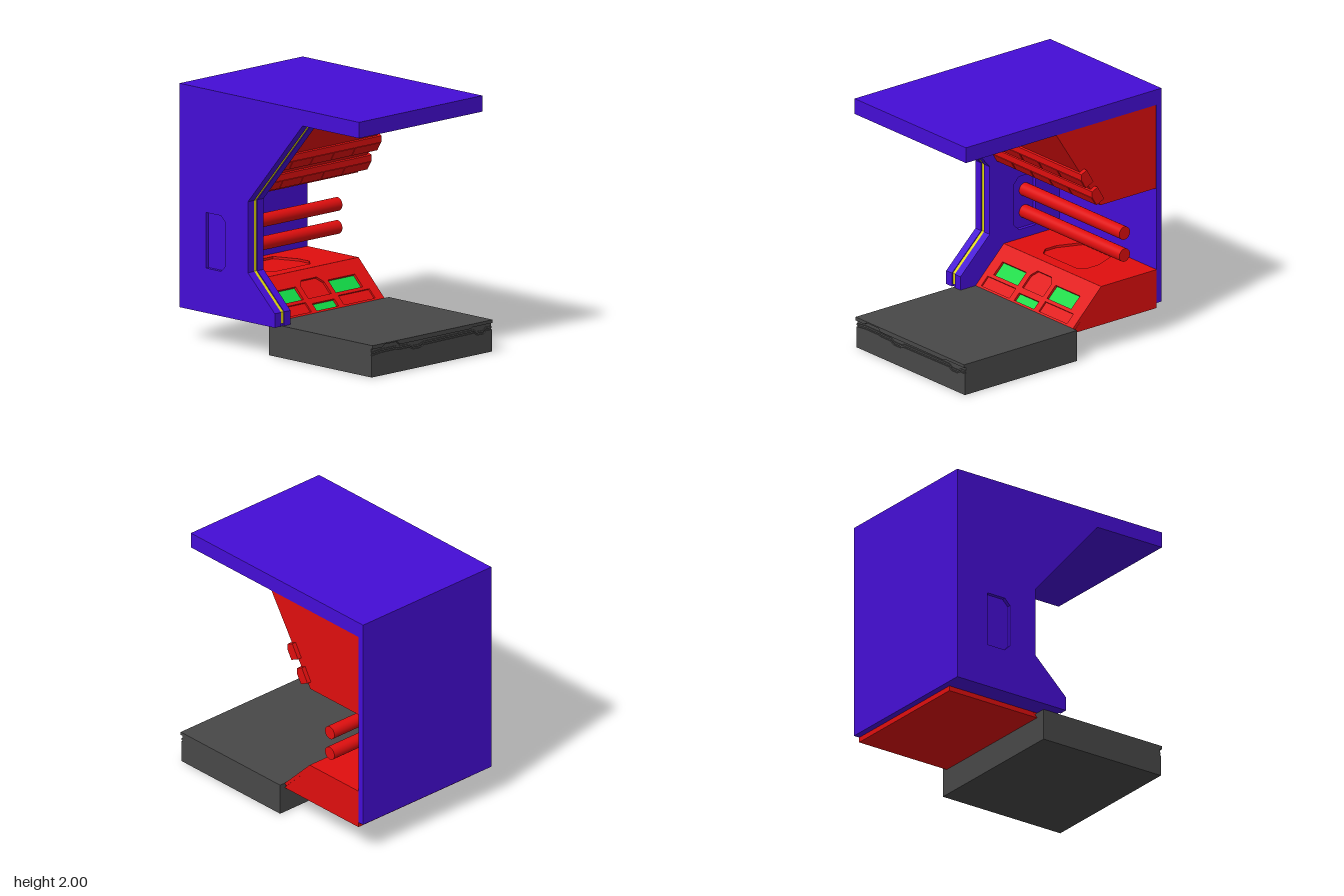
import * as THREE from 'three';

const paint = (name, color) => {
  const m = new THREE.MeshStandardMaterial({ color });
  m.name = name;
  return m;
};

export function createModel() {
  const purple = paint('purple shell', 0x450dd6);
  const red = paint('red panels', 0xe00e0e);
  const grey = paint('grey platform', 0x484848);
  const green = paint('green screens', 0x12da46);
  const yellow = paint('yellow strip', 0xe0d80c);
  const model = new THREE.Group();

  const add = (name, geometry, material, parent = model) => {
    const mesh = new THREE.Mesh(geometry, material);
    mesh.name = name;
    parent.add(mesh);
    return mesh;
  };
  const toPoints = (list) => list.map(([a, b]) => new THREE.Vector2(a, b));
  const rect = (a0, a1, b0, b1) => [[a0, b0], [a1, b0], [a1, b1], [a0, b1]];
  const block = (x0, x1, y0, y1, z0, z1) =>
    new THREE.BoxGeometry(x1 - x0, y1 - y0, z1 - z0)
      .translate((x0 + x1) / 2, (y0 + y1) / 2, (z0 + z1) / 2);

  // Flat plate from an outline, with holes, between two depths
  const plate = (outline, d0, d1, holes = []) => {
    const shape = new THREE.Shape(toPoints(outline));
    holes.forEach((h) => shape.holes.push(new THREE.Path(toPoints(h))));
    return new THREE.ExtrudeGeometry(shape, { depth: d1 - d0, bevelEnabled: false }).translate(0, 0, d0);
  };
  // Side profile of [z, y] points stretched from x0 to x1
  const slab = (profile, x0, x1, holes) =>
    plate(profile, 0, x1 - x0, holes).rotateY(-Math.PI / 2).translate(x1, 0, 0);

  // Roof and back
  add('roof', block(-0.69, 0.64, 1.875, 2, -1, 0.94), purple);
  add('backWall', block(-0.69, 0.64, 0.25, 1.875, -1, -0.95), purple);

  // Side wall in layers: a window recess on both faces and a groove along the front edge
  const edge = [[0.03, 0.25], [0.03, 0.36], [-0.26, 0.635], [-0.26, 1.19], [0.33, 1.875]];
  const wall = (inset) => [[-0.95, 0.25], ...edge.map(([z, y]) => [z - inset, y]), [-0.95, 1.875]];
  const recess = [[-0.715, 0.6], [-0.55, 0.6], [-0.5, 0.65], [-0.5, 0.985], [-0.55, 1.035], [-0.715, 1.035]];
  const layers = [
    [-0.69, -0.66, 0, [recess]], [-0.66, -0.622, 0, []], [-0.622, -0.588, 0.015, []],
    [-0.588, -0.55, 0, []], [-0.55, -0.52, 0, [recess]],
  ];
  layers.forEach(([x0, x1, inset, holes]) => add('sideWall', slab(wall(inset), x0, x1, holes), purple));

  // Yellow strip in the groove
  const strip = [[0.03, 0.27], ...edge.slice(1)];
  const stripOutline = [
    ...strip.map(([z, y]) => [z - 0.007, y]),
    ...strip.map(([z, y]) => [z - 0.016, y]).reverse(),
  ];
  add('edgeStrip', slab(stripOutline, -0.62, -0.59), yellow);

  // Upper housing with two panelled bars
  add('upperHousing', slab([[-0.95, 1.19], [-0.4, 1.19], [0.04, 1.875], [-0.95, 1.875]], -0.52, 0.635), red);
  const barProfile = [[-0.3, 1.42], [-0.225, 1.385], [-0.18, 1.46], [-0.18, 1.505], [-0.235, 1.53]];
  for (let i = 0; i < 2; i++) {
    const bar = new THREE.Group();
    bar.name = 'panelBar';
    bar.position.set(0, -0.167 * i, -0.107 * i);
    model.add(bar);
    add('bar', slab(barProfile, -0.52, 0.67), red, bar);
    const breaks = [-0.52, -0.29, -0.067, 0.157, 0.383, 0.67];
    for (let k = 0; k < 5; k++) {
      const panel = add('barPanel',
        new THREE.BoxGeometry(breaks[k + 1] - breaks[k] - 0.014, 0.074, 0.008), red, bar);
      panel.position.set((breaks[k] + breaks[k + 1]) / 2, 1.4225, -0.2025);
      panel.rotation.x = Math.atan2(0.045, 0.075);
    }
  }

  // Round rods
  for (const y of [0.725, 0.905]) {
    const rod = add('rod', new THREE.CylinderGeometry(0.053, 0.053, 1.195, 32), red);
    rod.rotation.z = Math.PI / 2;
    rod.position.set(0.0475, y, -0.63);
  }

  // Lower console body, and its top plate with a shallow recess
  add('consoleBody', slab([[-0.95, 0.21], [-0.12, 0.21], [-0.12, 0.214], [-0.4175, 0.507], [-0.95, 0.507]],
    -0.52, 0.642), red);
  const hatch = [[-0.17, 0.5], [0.22, 0.5], [0.28, 0.57], [0.28, 0.68], [0.2, 0.88], [-0.15, 0.88],
    [-0.23, 0.68], [-0.23, 0.57]];
  add('consoleTop', plate(rect(-0.52, 0.642, 0.4, 0.95), 0, 0.018, [hatch])
    .rotateX(-Math.PI / 2).translate(0, 0.507, 0), red);

  // Sloping control face with recessed screens and panels
  const face = new THREE.Group();
  face.name = 'controlFace';
  face.position.set(0, 0.25, -0.12);
  face.rotation.x = -Math.atan2(0.28, 0.275);
  model.add(face);
  const up = (y) => (y - 0.25) * 1.427;
  const onFace = (x0, x1, y0, y1) => rect(x0, x1, up(y0), up(y1));
  const badge = [[-0.08, 0.345], [0.168, 0.345], [0.168, 0.425], [0.125, 0.462], [-0.04, 0.462], [-0.08, 0.425]]
    .map(([x, y]) => [x, up(y)]);
  // outline, floor depth, colour
  const insets = [
    [onFace(-0.42, -0.133, 0.345, 0.43), -0.02, green],
    [onFace(0.215, 0.505, 0.345, 0.43), -0.02, green],
    [onFace(-0.075, 0.162, 0.262, 0.31), -0.02, green],
    [onFace(-0.468, -0.132, 0.262, 0.325), -0.013, red],
    [onFace(0.22, 0.555, 0.262, 0.325), -0.013, red],
    [badge, -0.017, red],
  ];
  add('facePlate', plate(rect(-0.52, 0.642, 0, 0.392), -0.025, 0, insets.map((i) => i[0])), red, face);
  insets.forEach(([outline, top, material]) =>
    add(material === green ? 'screen' : 'facePanel', plate(outline, -0.025, top), material, face));

  // Platform: front lip, jogged groove and lower plate
  add('platform', block(-0.605, 0.69, 0, 0.25, -0.12, 0.982), grey);
  const lipLine = [[-0.605, 0.222], [-0.5, 0.222], [-0.475, 0.24], [-0.335, 0.24], [-0.31, 0.215], [0.45, 0.215],
    [0.475, 0.225], [0.69, 0.225]];
  add('platformLip', plate([...lipLine, [0.69, 0.25], [-0.605, 0.25]], 0.982, 1), grey);
  const jogLine = [[-0.605, 0.18], [-0.5, 0.192], [-0.34, 0.192], [-0.31, 0.185], [-0.2, 0.185], [-0.16, 0.165],
    [-0.08, 0.165], [-0.05, 0.18], [0.5, 0.185], [0.53, 0.165], [0.6, 0.165], [0.63, 0.185], [0.69, 0.185]];
  const shifted = (d) => jogLine.map(([x, y]) => [x, y + d]);
  add('platformFront', plate([[0.69, 0], ...shifted(-0.012).reverse(), [-0.605, 0]], 0.982, 0.992), grey);
  add('platformTrim', plate([...shifted(0), ...shifted(0.014).reverse()], 0.982, 0.99), grey);

  return model;
}
